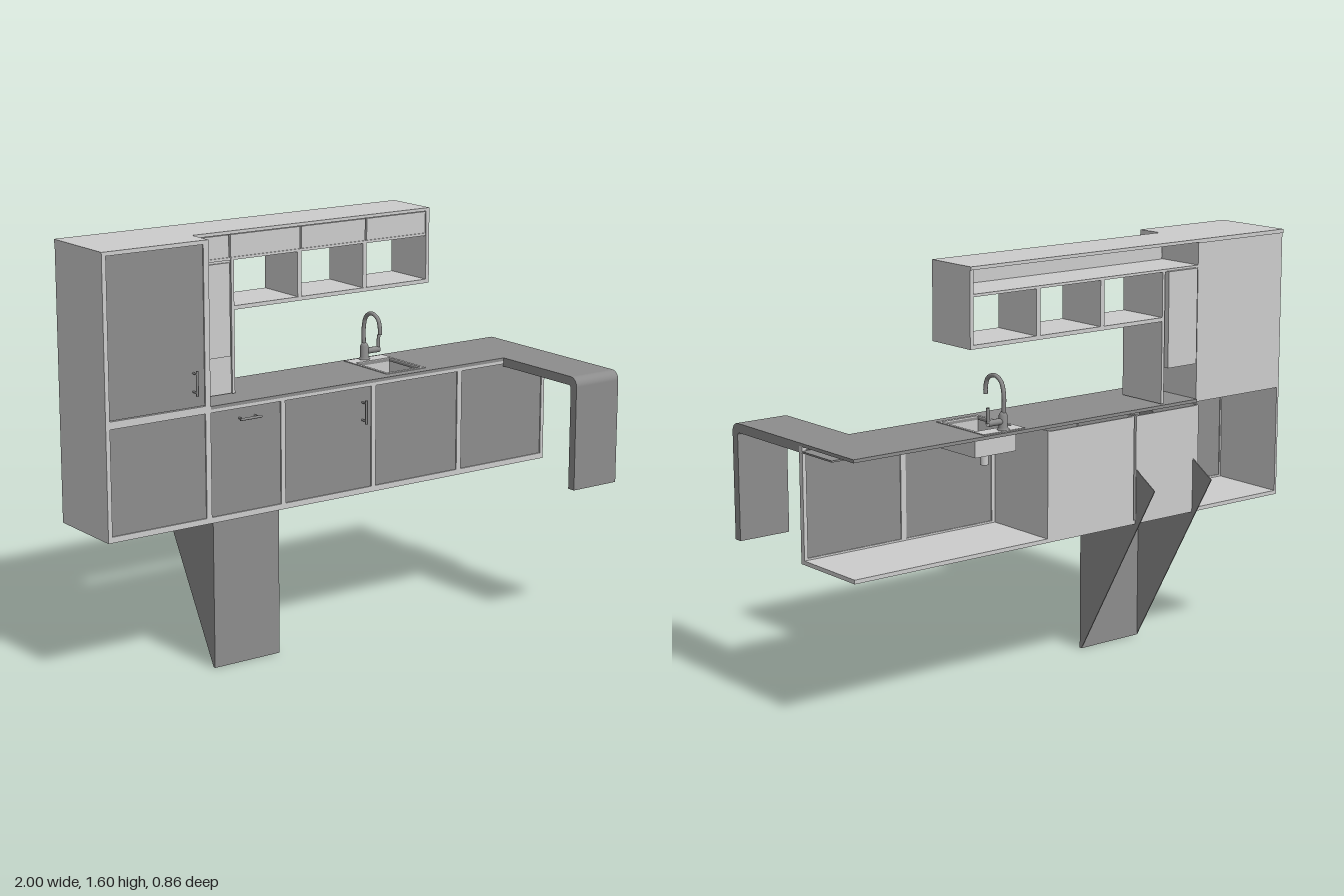
import * as THREE from 'three';

const light = new THREE.MeshStandardMaterial({ color: 0xcccccc, side: THREE.DoubleSide });
const dark = new THREE.MeshStandardMaterial({ color: 0x8c8c8c, side: THREE.DoubleSide });

export function createModel() {
  const root = new THREE.Group();

  const add = (parent, name, geometry, material = light) => {
    const mesh = new THREE.Mesh(geometry, material);
    mesh.name = name;
    parent.add(mesh);
    return mesh;
  };
  // Box given by its limits on each axis
  const box = (parent, name, x0, x1, y0, y1, z0, z1, material) => {
    const mesh = add(parent, name, new THREE.BoxGeometry(x1 - x0, y1 - y0, z1 - z0), material);
    mesh.position.set((x0 + x1) / 2, (y0 + y1) / 2, (z0 + z1) / 2);
    return mesh;
  };
  const group = (name) => {
    const g = new THREE.Group();
    g.name = name;
    root.add(g);
    return g;
  };
  const tube = (parent, name, points, r, material = dark) => {
    const path = new THREE.CatmullRomCurve3(points.map((p) => new THREE.Vector3(...p)));
    return add(parent, name, new THREE.TubeGeometry(path, 32, r, 10), material);
  };
  const B = -0.325; // back of the cabinets

  // Base cabinets: bottom, front frame and doors
  const base = group('baseCabinets');
  box(base, 'bottomPanel', -1, 1, 0.56, 0.575, B, 0);
  box(base, 'bottomRail', -1, 1, 0.56, 0.582, -0.02, 0);
  box(base, 'topRail', -1, 1, 0.972, 0.985, -0.02, 0);
  const stiles = [[-1, -0.983], [-0.588, -0.566], [-0.262, -0.243], [0.15, 0.17], [0.56, 0.582], [0.985, 1]];
  stiles.forEach(([x0, x1], i) => {
    box(base, 'stile', x0, x1, 0.58, 0.975, -0.02, 0);
    if (i) box(base, 'baseDoor', stiles[i - 1][1], x0, 0.582, 0.972, -0.016, -0.005, dark);
  });
  // Two closed carcasses with sides and a back
  for (const [x0, x1] of [[-0.578, -0.266], [-0.256, 0.155]]) {
    for (const x of [x0, x1 - 0.01]) box(base, 'carcassSide', x, x + 0.01, 0.575, 0.975, B, -0.015);
    box(base, 'carcassBack', x0, x1, 0.575, 0.972, B - 0.003, B + 0.006);
  }
  box(root, 'leftSidePanel', -1, -0.99, 0.56, 1.6, B, 0);

  // Tall cabinet
  const tall = group('tallCabinet');
  box(tall, 'tallSide', -0.577, -0.566, 0.985, 1.6, B, 0);
  box(tall, 'tallBack', -0.99, -0.577, 1, 1.59, B, B + 0.01);
  box(tall, 'tallTop', -1, -0.566, 1.585, 1.6, B - 0.005, 0);
  box(tall, 'tallBottom', -1, -0.566, 0.985, 1.0, B, 0);
  box(tall, 'tallLeftStile', -1, -0.983, 1, 1.6, -0.02, 0);
  box(tall, 'tallRightStile', -0.588, -0.566, 1, 1.6, -0.02, 0);
  box(tall, 'tallDoor', -0.983, -0.588, 1.002, 1.585, -0.016, -0.005, dark);

  // Wall shelf: three open bays under a row of flap doors
  const shelf = group('wallShelf');
  box(shelf, 'shelfTop', -0.566, 0.5, 1.588, 1.6, B - 0.005, -0.108);
  box(shelf, 'shelfMiddle', -0.566, 0.5, 1.493, 1.503, B, -0.11);
  box(shelf, 'shelfBottom', -0.39, 0.5, 1.31, 1.325, B, -0.108);
  box(shelf, 'shelfEnd', 0.485, 0.5, 1.31, 1.6, B, -0.108);
  for (const x of [-0.1, 0.197]) box(shelf, 'shelfDivider', x - 0.009, x + 0.009, 1.32, 1.5, B, -0.11);
  [[-0.56, -0.407], [-0.4, -0.095], [-0.088, 0.202], [0.209, 0.49]].forEach(([x0, x1]) =>
    box(shelf, 'flapDoor', x0, x1, 1.503, 1.585, -0.124, -0.114));
  box(shelf, 'flapBacking', -0.56, 0.49, 1.5, 1.59, -0.13, -0.124);

  // Narrow tower standing on the counter
  const tower = group('tower');
  box(tower, 'towerSide', -0.402, -0.39, 1, 1.5, B, -0.108);
  box(tower, 'towerFront', -0.566, -0.4, 1, 1.5, -0.128, -0.115);
  box(tower, 'towerBackBox', -0.55, -0.408, 1.135, 1.495, -0.34, -0.13);
  box(tower, 'towerDoor', -0.535, -0.408, 1.14, 1.485, -0.116, -0.108);
  box(tower, 'towerDoorPull', -0.546, -0.54, 1.14, 1.49, -0.116, -0.106, dark);

  // Countertop with a sink cutout
  const sx0 = 0.25, sx1 = 0.435, sz0 = -0.265, sz1 = -0.045;
  const rect = (S, x0, x1, y0, y1) => new S([[x0, y0], [x1, y0], [x1, y1], [x0, y1]].map((p) => new THREE.Vector2(...p)));
  const top = rect(THREE.Shape, -0.566, 1, 0, 0.33);
  top.holes.push(rect(THREE.Path, sx0 + 0.01, sx1 - 0.01, -sz1 + 0.01, -sz0 - 0.01));
  const counter = add(root, 'countertop', new THREE.ExtrudeGeometry(top, { depth: 0.012, bevelEnabled: false }), dark);
  counter.rotation.x = -Math.PI / 2;
  counter.position.y = 0.984;

  // Peninsula: slab that bends down into a leg, drawn in z and y
  const bend = new THREE.Shape();
  bend.moveTo(0, 0.996);
  bend.lineTo(0.395, 0.996);
  bend.absarc(0.395, 0.961, 0.035, Math.PI / 2, 0, true);
  bend.lineTo(0.43, 0.558);
  bend.lineTo(0.397, 0.558);
  bend.lineTo(0.397, 0.95);
  bend.absarc(0.385, 0.95, 0.012, 0, Math.PI / 2, false);
  bend.lineTo(0, 0.962);
  const peninsula = add(root, 'peninsula',
    new THREE.ExtrudeGeometry(bend, { depth: 0.21, bevelEnabled: false, curveSegments: 8 }), dark);
  peninsula.rotation.y = -Math.PI / 2;
  peninsula.position.x = 1;
  peninsula.scale.z = 1;
  box(root, 'peninsulaUnderlay', 0.79, 1, 0.962, 0.968, -0.2, 0, dark);

  // Sink basin, rim and drain
  const sink = group('sink');
  box(sink, 'basinFloor', sx0, sx1, 0.905, 0.911, sz0, sz1);
  for (const x of [sx0, sx1 - 0.006]) box(sink, 'basinSide', x, x + 0.006, 0.905, 0.985, sz0, sz1);
  for (const z of [sz0, sz1 - 0.006]) box(sink, 'basinEnd', sx0, sx1, 0.905, 0.985, z, z + 0.006);
  for (const x of [sx0, sx1 - 0.012]) box(sink, 'rimSide', x, x + 0.012, 0.994, 0.999, -0.315, -0.04);
  box(sink, 'rimFront', sx0, sx1, 0.994, 0.999, -0.055, -0.04);
  box(sink, 'rimBack', sx0, sx1, 0.994, 0.999, -0.315, sz0 + 0.01);
  add(sink, 'drain', new THREE.CylinderGeometry(0.015, 0.015, 0.05, 16)).position.set(0.34, 0.88, -0.195);

  // Gooseneck faucet with a side lever
  const faucet = group('faucet');
  const body = [[0, 0], [0.022, 0], [0.022, 0.006], [0.016, 0.012], [0.016, 0.055], [0.009, 0.068], [0, 0.068]];
  add(faucet, 'faucetBody', new THREE.LatheGeometry(body.map((p) => new THREE.Vector2(...p)), 20), dark)
    .position.set(0.33, 0.996, -0.292);
  tube(faucet, 'spout', [[0.33, 1.05, -0.295], [0.33, 1.13, -0.295], [0.33, 1.17, -0.28], [0.33, 1.187, -0.245],
    [0.33, 1.172, -0.205], [0.33, 1.14, -0.192], [0.33, 1.112, -0.191]], 0.008);
  tube(faucet, 'leverArm', [[0.33, 1.03, -0.292], [0.4, 1.03, -0.292]], 0.012);
  tube(faucet, 'lever', [[0.397, 1.03, -0.292], [0.399, 1.086, -0.292]], 0.007);

  // Bar handles, with the bar held off the door by two posts
  const handle = (x, y, turned) => {
    const g = group('handle');
    const rod = (name, r, len) => add(g, name, new THREE.CylinderGeometry(r, r, len, 8), dark);
    rod('handleBar', 0.005, 0.092).position.z = 0.022;
    for (const s of [-1, 1]) {
      const post = rod('handlePost', 0.004, 0.028);
      post.rotation.x = Math.PI / 2;
      post.position.set(0, s * 0.034, 0.008);
    }
    g.position.set(x, y, 0);
    if (turned) g.rotation.z = Math.PI / 2;
  };
  handle(-0.635, 1.093, false);
  handle(-0.408, 0.935, true);
  handle(0.11, 0.88, false);

  // Open wedge support: front plate and two triangular cheeks
  const support = group('wedgeSupport');
  box(support, 'supportFront', -0.556, -0.268, 0, 0.965, -0.022, -0.01, dark);
  const cheek = new THREE.Shape([[-0.02, 0], [-0.012, 0.962], [-0.43, 0.705]].map((p) => new THREE.Vector2(...p)));
  for (const x of [-0.552, -0.268]) {
    const m = add(support, 'supportCheek', new THREE.ExtrudeGeometry(cheek, { depth: 0.004, bevelEnabled: false }), dark);
    m.rotation.y = -Math.PI / 2;
    m.position.x = x;
  }

  return root;
}
